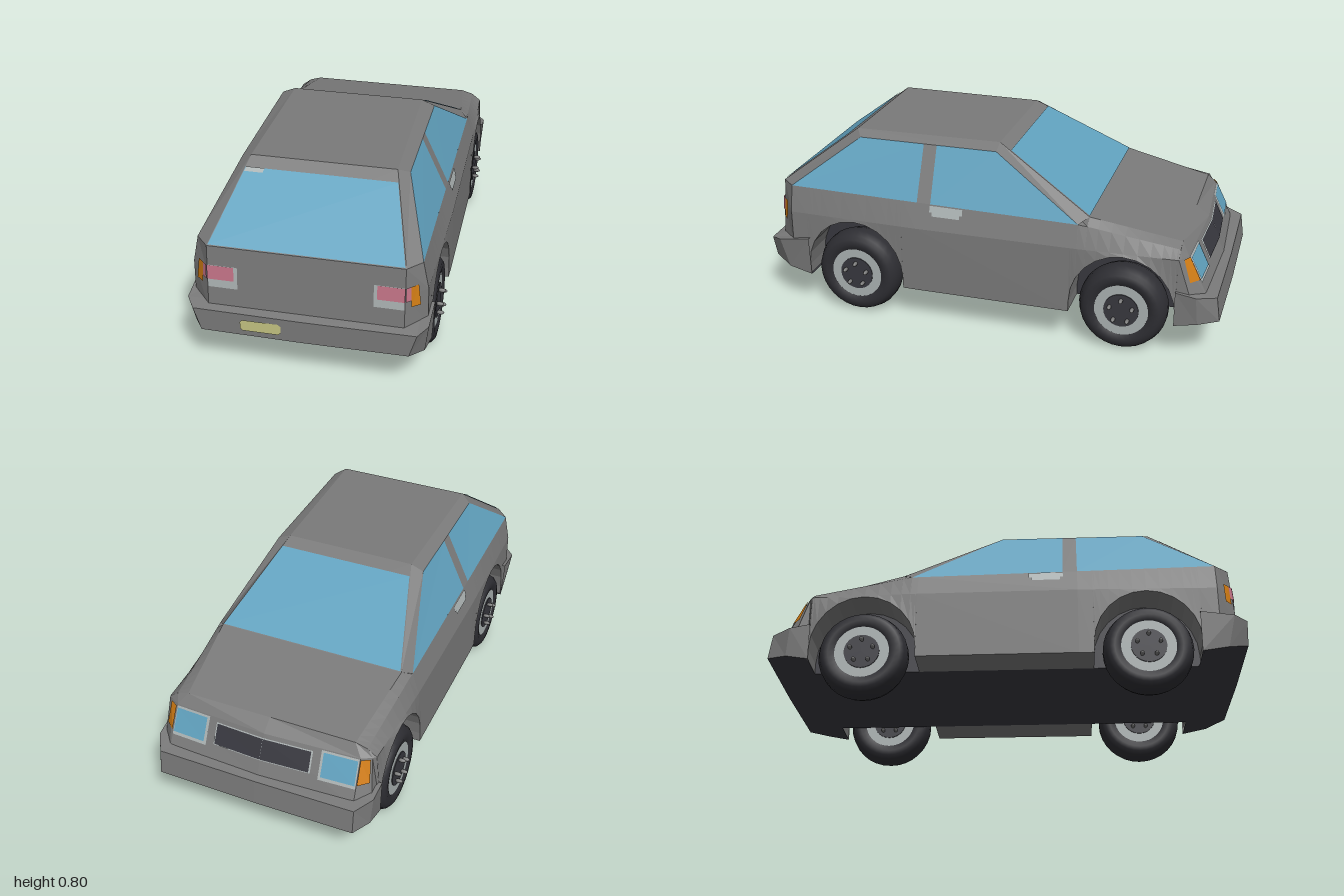
import * as THREE from 'three';

const mat = (name, color) => new THREE.MeshStandardMaterial({ name, color, side: THREE.DoubleSide });

export function createModel() {
  const car = new THREE.Group();
  car.name = 'hatchbackCar';
  const paint = mat('grey paint', 0x7a7a7a), glass = mat('blue glass', 0x61a2bf);
  const rubber = mat('dark rubber', 0x2e2e33), metal = mat('light metal', 0xabb2b2);
  const red = mat('pink lamp', 0xc47488), amber = mat('amber lamp', 0xd07c14);
  const yellow = mat('yellow plate', 0xc6c583), dark = mat('dark trim', 0x38383f);

  const V = (x, y, z) => new THREE.Vector3(x, y, z);
  const lerp = (a, b, t) => a.clone().lerp(b, t);
  const flip = p => V(-p.x, p.y, p.z);

  // Flat-shaded surface through rows of points
  function grid(name, material, rows) {
    const pos = [];
    for (let i = 0; i < rows.length - 1; i++) {
      for (let j = 0; j < rows[i].length - 1; j++) {
        const a = rows[i][j], b = rows[i][j + 1], c = rows[i + 1][j + 1], d = rows[i + 1][j];
        for (const p of [a, d, b, b, d, c]) pos.push(p.x, p.y, p.z);
      }
    }
    const g = new THREE.BufferGeometry();
    g.setAttribute('position', new THREE.Float32BufferAttribute(pos, 3));
    g.computeVertexNormals();
    const m = new THREE.Mesh(g, material);
    m.name = name;
    car.add(m);
  }
  // The same surface on the left and the right
  function both(name, material, rows) {
    grid(name + 'Left', material, rows);
    grid(name + 'Right', material, rows.map(r => r.map(flip)).reverse());
  }
  // Part of a face [topA, topB, bottomA, bottomB], lifted slightly off it
  function patch([ta, tb, ba, bb], u0, u1, v0, v1, lift) {
    const at = (u, v) => lerp(lerp(ta, tb, u), lerp(ba, bb, u), v);
    const q = [at(u0, v0), at(u1, v0), at(u0, v1), at(u1, v1)];
    const n = q[1].clone().sub(q[0]).cross(q[2].clone().sub(q[0])).normalize();
    if (n.dot(q[0].clone().sub(V(0, 0.4, 0))) < 0) n.negate();
    q.forEach(p => p.addScaledVector(n, lift));
    return [[q[0], q[1]], [q[2], q[3]]];
  }

  // Lower body: half sections along z, with wheel arches cut into the lower edge
  const floorY = 0.155, midY = 0.445, archW = 0.222, archH = 0.235, axles = [0.585, -0.595];
  // z, lower x, middle x, belt x, belt y, hood edge x, hood y
  const keys = [
    [0.945, 0.39, 0.39, 0.39, 0.56, 0.38, 0.56],
    [0.88, 0.47, 0.468, 0.445, 0.56, 0.4, 0.55],
    [0.3, 0.482, 0.48, 0.445, 0.551, 0.4, 0.54],
    [-0.4, 0.48, 0.475, 0.445, 0.54, 0.41, 0.545],
    [-0.44, 0.48, 0.474, 0.442, 0.535, 0.41, 0.565],
    [-0.82, 0.475, 0.46, 0.42, 0.475, 0.37, 0.49]];
  const zs = keys.map(k => k[0]);
  for (const az of axles) {
    zs.push(az + archW + 1e-4, az - archW - 1e-4);
    for (let i = 0; i <= 12; i++) zs.push(az + archW * Math.cos(Math.PI * i / 12));
  }
  zs.sort((a, b) => b - a);
  const shell = zs.map(z => {
    let i = 0;
    while (i < keys.length - 2 && z < keys[i + 1][0]) i++;
    const t = Math.min(1, (keys[i][0] - z) / (keys[i][0] - keys[i + 1][0]));
    const [, xw, xm, xb, yb, xh, yh] = keys[i].map((k, n) => k + (keys[i + 1][n] - k) * t);
    const base = z > 0.85 ? 0.28 : floorY;
    const off = axles.map(az => Math.abs(z - az) / archW).find(d => d < 1.0001);
    const bottom = off === undefined ? base : 0.2 + archH * Math.sqrt(Math.max(0, 1 - off * off));
    const pts = [[0, base], [0.32, base], [0.32, bottom], [xw, bottom], [xm, midY], [xb, yb], [xh, yh], [0, yh]];
    return pts.map(([x, y]) => V(x, y, z > 0.9 ? z + (0.5 - y) * 0.08 : z));
  });
  both('floorAndWheelWells', dark, shell.map(s => s.slice(0, 3)));
  both('bodyShell', paint, shell.map(s => s.slice(2)));

  // Rear panel
  const rearTop = V(0.39, 0.56, 0.94), rearLow = V(0.39, 0.28, 0.963);
  grid('rearPanel', paint, [[flip(rearTop), rearTop], [flip(rearLow), rearLow]]);

  // Nose
  const nose = [
    [V(0, 0.49, -0.82), V(0.37, 0.49, -0.82), V(0.42, 0.475, -0.82), V(0.42, 0.475, -0.82)],
    [V(0, 0.45, -0.877), V(0.405, 0.445, -0.852), V(0.445, 0.445, -0.83), V(0.46, 0.445, -0.82)],
    [V(0, 0.27, -0.96), V(0.41, 0.27, -0.94), V(0.465, 0.27, -0.88), V(0.475, 0.2, -0.82)]];
  both('nose', paint, nose);

  // Cabin
  const roofR = V(0.295, 0.8, 0.62), roofF = V(0.285, 0.8, -0.02);
  const railR = V(0.34, 0.777, 0.59), railF = V(0.34, 0.777, -0.02);
  const beltR = V(0.445, 0.56, 0.88), beltF = V(0.445, 0.54, -0.4), cowl = V(0.41, 0.565, -0.44);
  grid('roof', paint, [[flip(roofF), roofF], [flip(roofR), roofR]]);
  both('roofRail', paint, [[roofF, railF], [roofR, railR]]);
  both('rearPillar', paint, [[roofR, railR], [rearTop, beltR]]);
  both('frontPillar', paint, [[railF, roofF], [beltF, cowl]]);
  const hatch = [flip(roofR), roofR, flip(rearTop), rearTop];
  const screen = [roofF, flip(roofF), cowl, flip(cowl)];
  grid('hatchFrame', paint, patch(hatch, 0, 1, 0, 1, 0));
  grid('rearWindow', glass, patch(hatch, 0.005, 0.995, 0.14, 0.99, 0.003));
  grid('rearWindowGlint', metal, patch(hatch, 0.01, 0.13, 0.14, 0.19, 0.005));
  grid('windshieldFrame', paint, patch(screen, 0, 1, 0, 1, 0));
  grid('windshield', glass, patch(screen, 0.005, 0.995, 0.12, 0.995, 0.003));

  // Side windows with a door pillar between
  const top = [0, 0.475, 0.57, 1].map(t => lerp(railR, railF, t));
  const low = [0, 0.453, 0.5, 1].map(t => lerp(beltR, beltF, t));
  ['rearSideWindow', 'doorPillar', 'doorWindow'].forEach((name, i) =>
    both(name, i === 1 ? paint : glass, [[top[i], top[i + 1]], [low[i], low[i + 1]]]));

  // Door handles
  const door = [V(0.445, 0.55, 0.24), V(0.445, 0.548, 0.095), V(0.48, midY, 0.24), V(0.479, midY, 0.095)];
  both('doorHandle', metal, patch(door, 0, 1, 0.05, 0.3, 0.004));
  both('doorHandleLip', metal, patch(door, 0.08, 0.92, 0.3, 0.45, 0.004));

  // Tail lamps, wrapped round the rear corners
  const half = [V(0, 0.56, 0.94), rearTop, V(0, 0.28, 0.963), rearLow];
  both('tailLampFrame', metal, patch(half, 0.69, 0.995, 0.29, 0.63, 0.003));
  both('tailLamp', red, patch(half, 0.725, 1, 0.29, 0.505, 0.006));
  const corner = [rearTop, beltR, V(0.39, midY, 0.95), V(0.468, midY, 0.88)];
  both('tailLampEnd', red, patch(corner, 0, 0.22, 0.7, 1.22, 0.005));
  both('tailIndicator', amber, patch(corner, 0.22, 0.58, 0.7, 1.46, 0.005));

  // Grille and headlamps
  const face = [nose[1][0], nose[1][1], nose[2][0], nose[2][1]];
  both('grilleFrame', metal, patch(face, 0, 0.525, 0.09, 0.57, 0.003));
  both('grille', dark, patch(face, 0, 0.51, 0.11, 0.55, 0.006));
  both('headlampFrame', metal, patch(face, 0.61, 0.995, 0.02, 0.65, 0.003));
  both('headlamp', glass, patch(face, 0.635, 0.985, 0.06, 0.58, 0.006));
  const wing = [nose[1][1], nose[1][2], nose[2][1], nose[2][2]];
  both('frontIndicator', amber, patch(wing, 0.02, 0.85, 0.03, 0.57, 0.005));

  // Bumpers, with dark undersides
  function bumper(name, rows) {
    both(name, paint, rows.slice(0, 3));
    both(name + 'Underside', dark, rows.slice(2));
  }
  bumper('rearBumper', [
    [V(0, 0.31, 0.94), V(0.385, 0.31, 0.94), V(0.44, 0.315, 0.89), V(0.47, 0.33, 0.8)],
    [V(0, 0.298, 1), V(0.445, 0.298, 0.995), V(0.482, 0.31, 0.94), V(0.484, 0.33, 0.8)],
    [V(0, 0.2, 1), V(0.415, 0.2, 0.995), V(0.465, 0.175, 0.91), V(0.476, 0.155, 0.8)],
    [V(0, 0.153, 0.8), V(0.33, 0.153, 0.8), V(0.38, 0.153, 0.8), V(0.42, 0.153, 0.8)]]);
  bumper('frontBumper', [
    [V(0, 0.29, -0.95), V(0.38, 0.29, -0.92), V(0.45, 0.3, -0.87), V(0.47, 0.31, -0.815)],
    [V(0, 0.285, -0.985), V(0.43, 0.285, -0.98), V(0.48, 0.295, -0.9), V(0.482, 0.31, -0.815)],
    [V(0, 0.18, -1), V(0.43, 0.18, -0.995), V(0.47, 0.172, -0.91), V(0.476, 0.155, -0.815)],
    [V(0, 0.153, -0.815), V(0.33, 0.153, -0.815), V(0.38, 0.153, -0.815), V(0.42, 0.153, -0.815)]]);

  // Licence plate with clipped corners
  grid('licencePlate', yellow, [[0.275, 0.072], [0.265, 0.082], [0.236, 0.082], [0.226, 0.072]]
    .map(([y, w]) => [V(-0.17 - w, y, 1.003), V(-0.17 + w, y, 1.003)]));

  // Wheels
  const tyre = new THREE.LatheGeometry([
    [0.108, -0.05], [0.116, -0.062], [0.14, -0.0675], [0.16, -0.064], [0.176, -0.05], [0.187, -0.018],
    [0.187, 0.018], [0.176, 0.05], [0.16, 0.064], [0.14, 0.0675], [0.116, 0.062], [0.108, 0.05],
  ].map(p => new THREE.Vector2(...p)), 32);
  const rim = new THREE.CylinderGeometry(0.116, 0.116, 0.118, 32);
  const hub = new THREE.CylinderGeometry(0.074, 0.074, 0.126, 24);
  const nut = new THREE.SphereGeometry(0.009, 10, 6).scale(1, 2, 1);
  for (const z of axles) for (const side of [1, -1]) {
    const wheel = new THREE.Group();
    wheel.name = (z > 0 ? 'rear' : 'front') + (side > 0 ? 'Left' : 'Right') + 'Wheel';
    const add = (name, g, m) => {
      const mesh = new THREE.Mesh(g, m);
      mesh.name = name;
      wheel.add(mesh);
      return mesh;
    };
    add('tyre', tyre, rubber);
    add('rim', rim, metal);
    add('hub', hub, dark);
    for (let i = 0; i < 5; i++) for (const s of [1, -1]) {
      const a = i * Math.PI * 2 / 5;
      add('wheelNut', nut, paint).position.set(0.05 * Math.cos(a), s * 0.074, 0.05 * Math.sin(a));
    }
    wheel.rotation.z = Math.PI / 2;
    wheel.position.set(side * 0.4075, 0.187, z);
    car.add(wheel);
  }
  return car;
}
